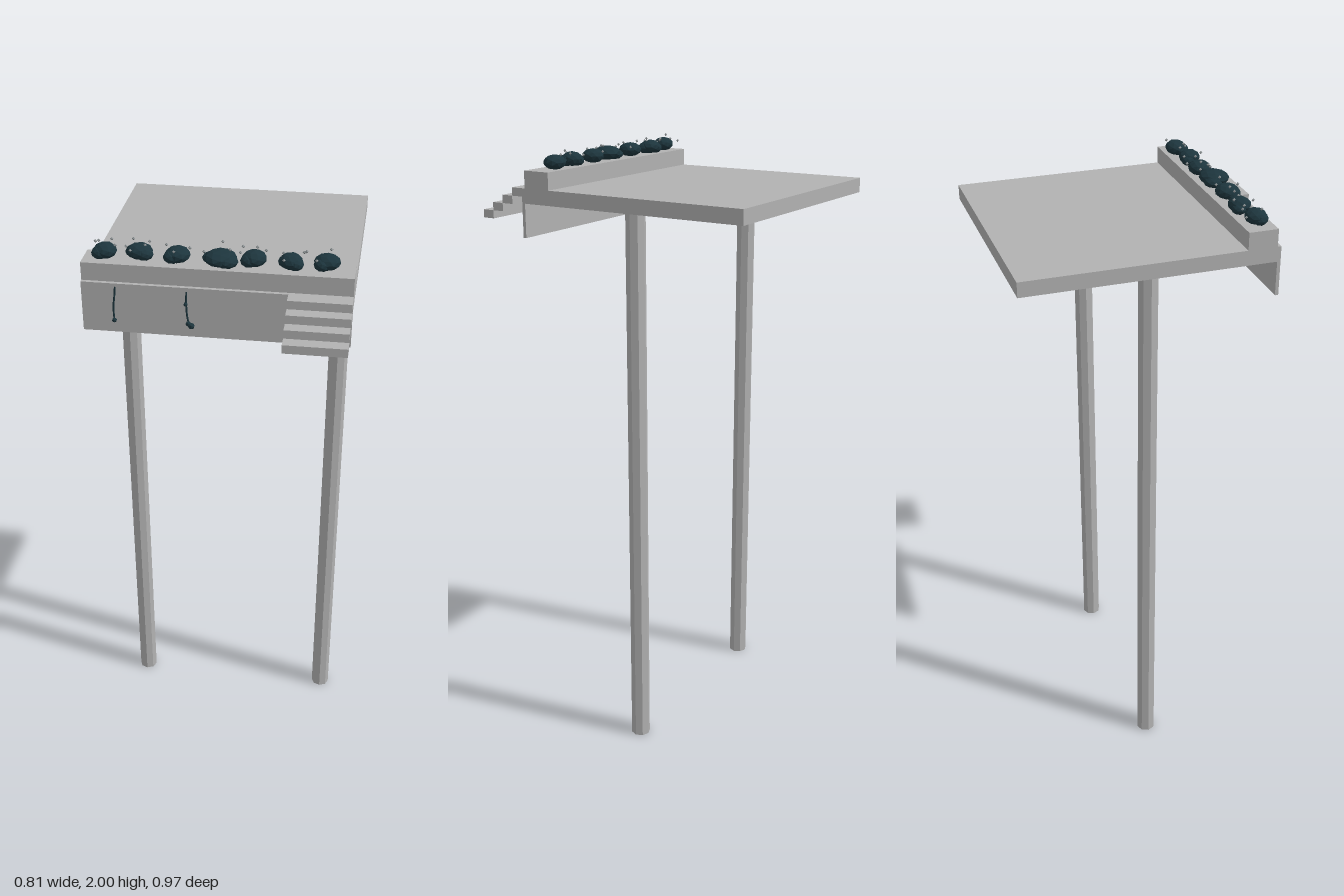
import * as THREE from 'three';

export function createModel() {
  const model = new THREE.Group();
  model.name = 'raisedTerrace';

  const material = (name, color) => {
    const m = new THREE.MeshStandardMaterial({ color, flatShading: true });
    m.name = name;
    return m;
  };
  const concrete = material('concrete grey', 0xb2b2b2);
  const foliage = material('dark teal foliage', 0x1d353d);
  const blossom = material('blossom grey', 0x8c9294);

  const add = (name, geometry, mat, x, y, z, parent = model) => {
    const mesh = new THREE.Mesh(geometry, mat);
    mesh.name = name;
    mesh.position.set(x, y, z);
    parent.add(mesh);
    return mesh;
  };
  // Box given by its minimum and maximum corners
  const box = (name, x0, x1, y0, y1, z0, z1) =>
    add(name, new THREE.BoxGeometry(x1 - x0, y1 - y0, z1 - z0), concrete,
      (x0 + x1) / 2, (y0 + y1) / 2, (z0 + z1) / 2);

  // Platform, planter wall and hanging front panel
  box('platform', -0.404, 0.404, 1.838, 1.886, -0.485, 0.31);
  box('planterWall', -0.404, 0.404, 1.886, 1.942, 0.215, 0.309);
  box('frontPanel', -0.404, 0.404, 1.728, 1.886, 0.31, 0.321);

  // Stairs descending from the model's left front corner
  for (let i = 0; i < 4; i++) {
    const top = 1.886 - i * 0.0265;
    box('step' + (i + 1), 0.215, 0.404, top - 0.0265, top, 0.321 + i * 0.0405, 0.3615 + i * 0.0405);
  }

  // Two tall octagonal columns
  for (const side of [-1, 1]) {
    add(side > 0 ? 'leftColumn' : 'rightColumn',
      new THREE.CylinderGeometry(0.032, 0.032, 1.838, 8, 1, true), concrete, side * 0.351, 0.919, -0.078);
  }

  // Bushes: x, z, half width, half depth
  const bushes = [
    [-0.338, 0.261, 0.036, 0.034], [-0.236, 0.252, 0.040, 0.035], [-0.12, 0.259, 0.038, 0.039],
    [0.008, 0.266, 0.050, 0.046], [0.107, 0.254, 0.037, 0.037], [0.215, 0.260, 0.035, 0.035],
    [0.320, 0.250, 0.035, 0.040],
  ];
  const leafBall = new THREE.IcosahedronGeometry(1, 1);
  bushes.forEach(([x, z, rx, rz], i) => {
    const bush = new THREE.Group();
    bush.name = 'bush' + (i + 1);
    model.add(bush);
    const main = add('bushCrown', leafBall, foliage, x, 1.964, z, bush);
    main.scale.set(rx, 0.024, rz);
    main.rotation.y = i * 0.25;
    // Smaller lobes break up the outline
    const lobe = i % 2 ? 1 : -1;
    const a = add('bushLobe', leafBall, foliage, x + lobe * rx * 0.4, 1.96, z + rz * 0.3, bush);
    a.scale.set(rx * 0.7, 0.02, rz * 0.7);
    const b = add('bushLobe', leafBall, foliage, x - rx * 0.45, 1.958, z - lobe * rz * 0.25, bush);
    b.scale.set(rx * 0.68, 0.018, rz * 0.68);
  });

  // Small blossoms scattered over the bushes: x, z
  const blossoms = [
    [-0.367, 0.219], [-0.325, 0.224], [-0.364, 0.268], [-0.308, 0.258], [-0.259, 0.224],
    [-0.277, 0.25], [-0.218, 0.255], [-0.205, 0.247], [-0.256, 0.288], [-0.154, 0.253],
    [-0.088, 0.235], [-0.126, 0.291], [0.008, 0.219], [-0.041, 0.265], [0.036, 0.263],
    [0.005, 0.288], [0.067, 0.268], [0.072, 0.245], [0.11, 0.212], [0.141, 0.253],
    [0.19, 0.232], [0.251, 0.24], [0.259, 0.255], [0.197, 0.294], [0.328, 0.219], [0.29, 0.273],
  ];
  const petal = new THREE.OctahedronGeometry(0.0055);
  blossoms.forEach(([x, z], i) =>
    add('blossom', petal, blossom, x, 1.975 + ((i * 7) % 5) * 0.0048, z));

  // Thin vines drooping over the front panel, each with small leaves
  const vine = (name, points, leaves) => {
    const group = new THREE.Group();
    group.name = name;
    model.add(group);
    const curve = new THREE.CatmullRomCurve3(points.map(([x, y]) => new THREE.Vector3(x, y, 0.324)));
    add('vineStem', new THREE.TubeGeometry(curve, 10, 0.003, 5), foliage, 0, 0, 0, group);
    for (const [x, y, r] of leaves)
      add('vineLeaf', new THREE.IcosahedronGeometry(r, 0), foliage, x, y, 0.325, group);
  };
  vine('rightVine', [[-0.299, 1.878], [-0.302, 1.85], [-0.307, 1.81], [-0.306, 1.77]],
    [[-0.306, 1.768, 0.008]]);
  vine('centreVine', [[-0.085, 1.876], [-0.086, 1.83], [-0.083, 1.79], [-0.077, 1.765]],
    [[-0.088, 1.835, 0.007], [-0.081, 1.772, 0.009], [-0.072, 1.765, 0.011]]);

  return model;
}
